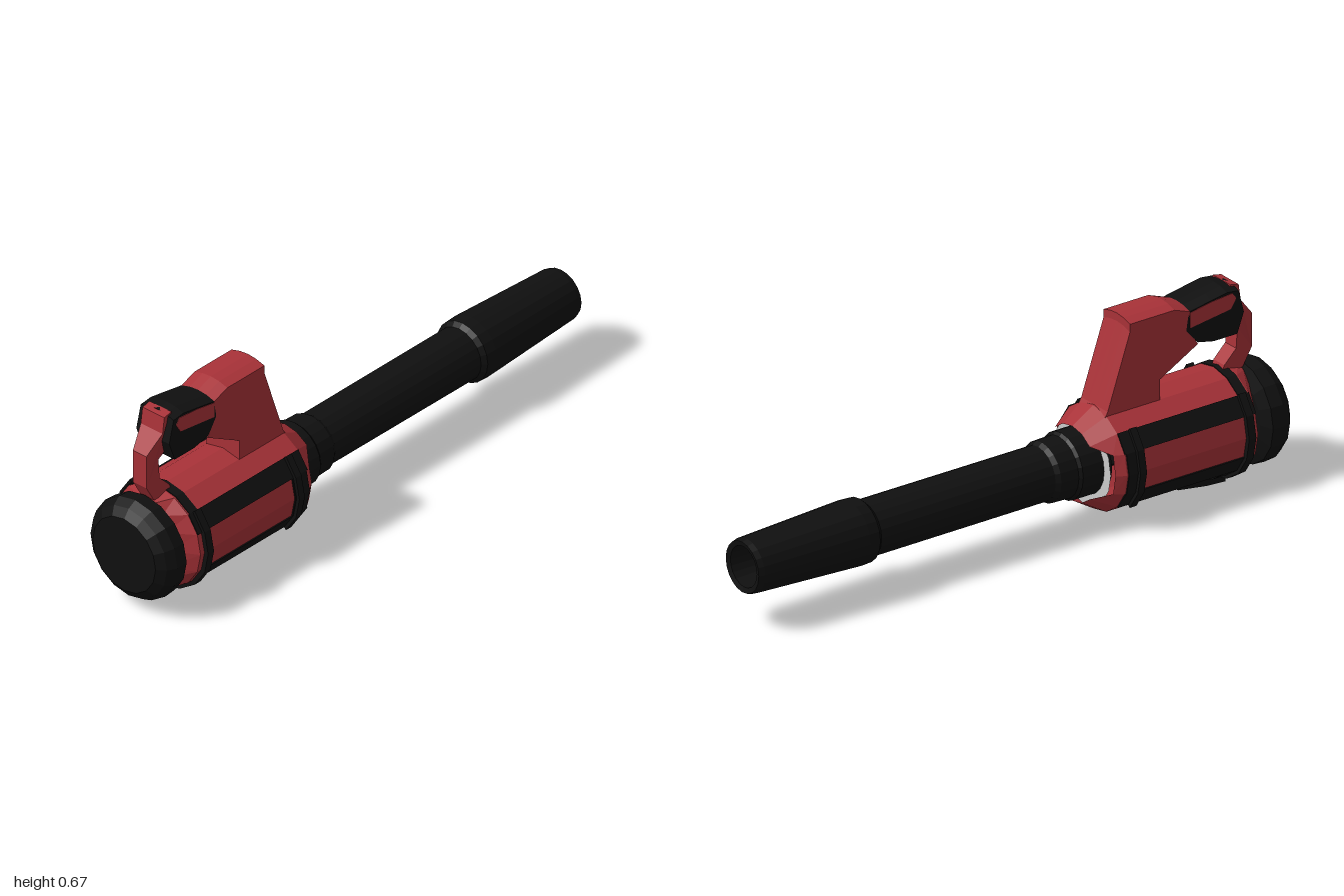
import * as THREE from 'three';

const STEP = Math.PI / 8;
const AXIS_Y = 0.21;
const mat = (color) => new THREE.MeshStandardMaterial({ color, flatShading: true, side: THREE.DoubleSide });

export function createModel() {
  const root = new THREE.Group();
  const red = mat(0xa83238), black = mat(0x101010), grey = mat(0xcccccc);

  const add = (name, geo, material, y = 0) => {
    const mesh = new THREE.Mesh(geo, material);
    mesh.name = name;
    mesh.position.y = y;
    root.add(mesh);
    return mesh;
  };

  // Turned part along z; profile is [radius, z] in rising z
  const turned = (profile, sides = 16) =>
    new THREE.LatheGeometry(profile.map(([r, z]) => new THREE.Vector2(r, z)), sides).rotateX(Math.PI / 2);

  // Faceted shell segment around the z axis, from facet corner i0 to i1
  const arcPanel = (name, i0, i1, r, z0, z1, material) => {
    const pts = [];
    const at = (i, rad) => new THREE.Vector2(rad * Math.cos(i * STEP), rad * Math.sin(i * STEP));
    for (let i = i0; i <= i1; i++) pts.push(at(i, r));
    for (let i = i1; i >= i0; i--) pts.push(at(i, 0.16));
    const geo = new THREE.ExtrudeGeometry(new THREE.Shape(pts), { depth: z1 - z0, bevelEnabled: false });
    add(name, geo.translate(0, 0, z0), material, AXIS_Y);
  };

  // Side outline in [z, y] given a width along x
  const slab = (outline, width, steps = 1) => {
    const shape = new THREE.Shape(outline.map(([z, y]) => new THREE.Vector2(z, y)));
    return new THREE.ExtrudeGeometry(shape, { depth: width, steps, bevelEnabled: false })
      .rotateY(-Math.PI / 2).translate(width / 2, 0, 0);
  };

  const bend = (geo, rule) => {
    const p = geo.attributes.position, v = new THREE.Vector3();
    for (let i = 0; i < p.count; i++) {
      rule(v.fromBufferAttribute(p, i));
      p.setXYZ(i, v.x, v.y, v.z);
    }
    geo.computeVertexNormals();
    return geo;
  };

  // Motor housing
  add('housing', turned([[0.175, 0.34], [0.175, 0.84]]), red, AXIS_Y);

  // Tapered nose with notched sides
  add('nose', bend(turned([[0.126, 0.26], [0.175, 0.34]]), (v) => {
    if (v.z < 0.3 && Math.abs(v.y) < 0.06) { v.z = 0.31; v.x *= 1.23; v.y *= 1.35; }
  }), red, AXIS_Y);
  add('noseWall', new THREE.RingGeometry(0.09, 0.145, 16).rotateY(Math.PI).translate(0, 0, 0.3), grey, AXIS_Y);

  // Rear collar, pinched at the sides
  add('rearCollar', bend(turned([[0.175, 0.84], [0.165, 0.89]]), (v) => {
    if (v.z > 0.86) v.x *= 0.52;
  }), red, AXIS_Y);

  // Domed end cap
  add('endCap', turned([[0, 0.885], [0.125, 0.885], [0.172, 0.9], [0.175, 0.945], [0.158, 0.975],
    [0.13, 0.996], [0, 1]]), black, AXIS_Y);

  // Framing strips and ribs on both flanks
  for (const side of [0, 8]) {
    arcPanel('upperStrip', side ? 6 : 1, side ? 7 : 2, 0.179, 0.34, 0.84, black);
    arcPanel('lowerStrip', side ? 9 : -2, side ? 10 : -1, 0.179, 0.34, 0.82, black);
    arcPanel('frontBand', side - 1, side + 1, 0.179, 0.345, 0.41, black);
    arcPanel('frontRib', side - 2, side + 2, 0.19, 0.38, 0.405, black);
  }
  arcPanel('rearRib', -10, 2, 0.19, 0.795, 0.822, black);
  arcPanel('rearBand', 2, 6, 0.178, 0.8, 0.835, black);
  arcPanel('footBand', -6, -2, 0.179, 0.74, 0.82, black);

  // Foot below the housing
  add('foot', slab([[0.82, 0.05], [0.82, 0.004], [0.75, 0.008], [0.64, 0.024], [0.64, 0.05]], 0.066), black);

  // Blower tube with stepped collar and flared, hollow nozzle
  add('blowerTube', turned([[0.064, -0.9], [0.068, -0.995], [0.085, -1], [0.09, -0.98], [0.107, -0.59],
    [0.105, -0.55], [0.091, -0.535], [0.09, 0.13], [0.1, 0.145], [0.102, 0.21], [0.111, 0.22],
    [0.111, 0.33]], 20), black, AXIS_Y + 0.002);
  add('nozzleFloor', new THREE.CircleGeometry(0.066, 20).rotateY(Math.PI).translate(0, 0, -0.9), black, AXIS_Y + 0.002);

  // Crowned handle parts
  const crown = (v) => { if (v.y > 0.62) v.y -= 0.013 * (v.x / 0.068) ** 2; };
  add('handlePost', bend(slab([[0.33, 0.36], [0.545, 0.36], [0.545, 0.44], [0.69, 0.52], [0.65, 0.58],
    [0.66, 0.65], [0.6, 0.672], [0.43, 0.672], [0.43, 0.645], [0.345, 0.385]], 0.136, 4), crown), red);
  add('grip', bend(slab([[0.645, 0.575], [0.69, 0.525], [0.75, 0.512], [0.84, 0.512], [0.865, 0.58],
    [0.845, 0.67], [0.8, 0.675], [0.74, 0.665], [0.655, 0.65]], 0.136, 4), crown), black);
  add('gripSidePanel', slab([[0.66, 0.582], [0.815, 0.603], [0.835, 0.635], [0.82, 0.655], [0.74, 0.648],
    [0.66, 0.634]], 0.139), red);

  // Rear arm, narrow below and wider where it meets the grip
  add('rearArm', bend(slab([[0.81, 0.37], [0.89, 0.37], [0.925, 0.43], [0.925, 0.545], [0.87, 0.61],
    [0.862, 0.665], [0.83, 0.672], [0.82, 0.6], [0.85, 0.52], [0.87, 0.51], [0.865, 0.44], [0.82, 0.395]], 0.09), (v) => {
    if (v.y < 0.56) v.x *= 0.62;
  }), red);

  return root;
}
